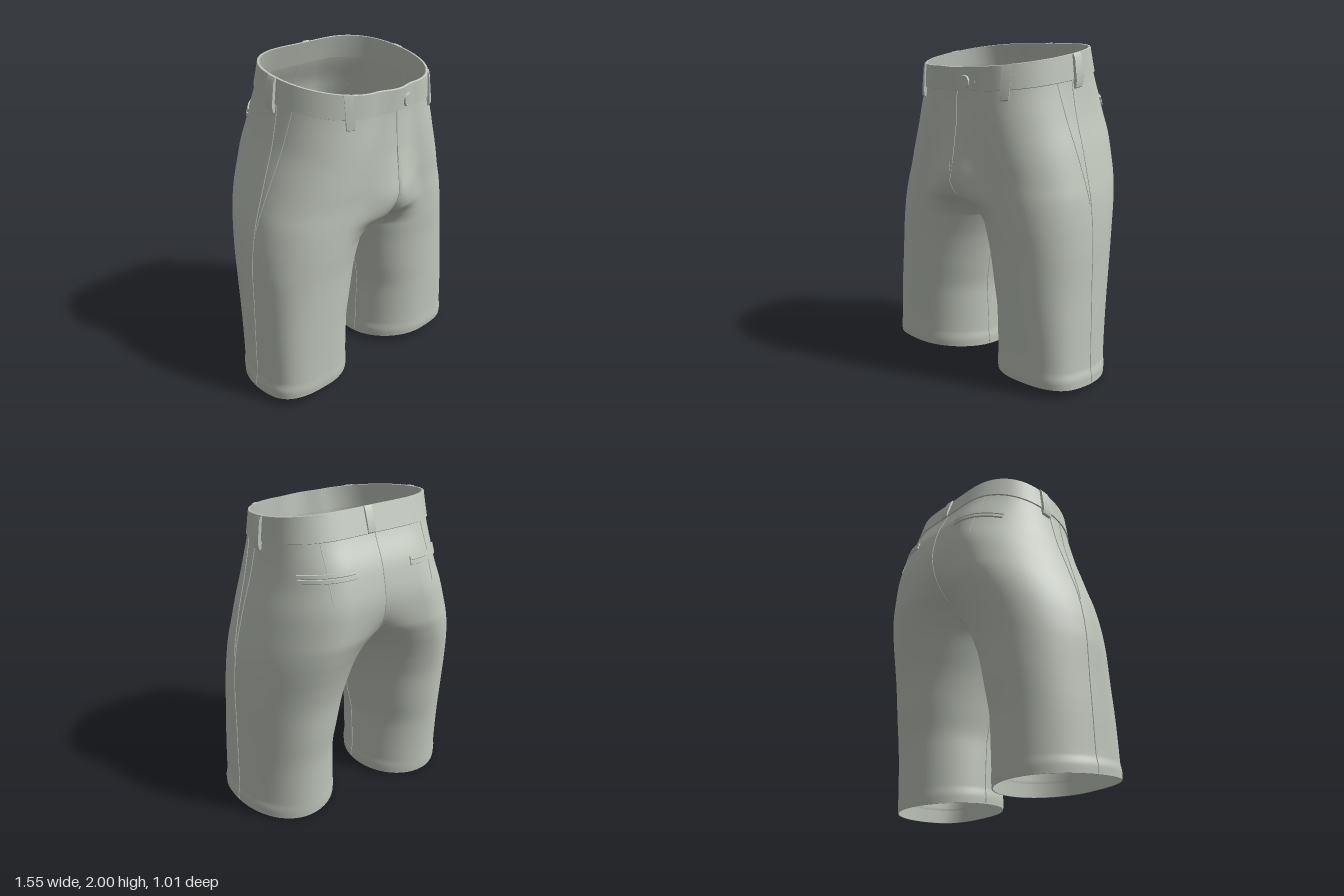
import * as THREE from 'three';
import { mergeGeometries, mergeVertices, toCreasedNormals } from 'three/addons/utils/BufferGeometryUtils.js';

// Sections of one leg half, hem to waist (a negative inner x is cut at the centre):
// y, inner x, peak x, outer x, front z, back z, inner z, front bulge, side z
const LEVELS = [
  [0.024, 0.115, 0.44, 0.772, 0.387, -0.29, 0.06, 0, 0.15],
  [0.07, 0.113, 0.44, 0.773, 0.391, -0.294, 0.06, 0, 0.15],
  [0.13, 0.12, 0.44, 0.762, 0.39, -0.297, 0.06, 0, 0.15],
  [0.4, 0.12, 0.44, 0.757, 0.395, -0.315, 0.07, 0, 0.14],
  [0.6, 0.09, 0.43, 0.752, 0.4, -0.345, 0.08, 0, 0.13],
  [0.8, 0.047, 0.42, 0.75, 0.405, -0.373, 0.08, 0, 0.115],
  [0.95, 0, 0.4, 0.74, 0.415, -0.41, 0.08, 0, 0.095],
  [1.05, -0.04, 0.38, 0.727, 0.42, -0.44, 0.08, 0.06, 0.08],
  [1.15, -0.12, 0.35, 0.708, 0.425, -0.47, 0.08, 0.135, 0.07],
  [1.25, -0.3, 0.31, 0.68, 0.43, -0.492, 0.08, 0.117, 0.06],
  [1.4, -0.8, 0.27, 0.635, 0.44, -0.497, 0.08, 0.064, 0.05],
  [1.6, -1.5, 0.22, 0.573, 0.445, -0.457, 0.08, 0.026, 0.04],
  [1.81, -2, 0.18, 0.53, 0.44, -0.362, 0.08, 0.02, 0.03],
  [1.948, -2.2, 0.16, 0.514, 0.445, -0.314, 0.08, 0.026, 0.02],
];
const BOTTOM = LEVELS[0][0], TOP = LEVELS[LEVELS.length - 1][0], BAND = 1.8;
const { lerp, smoothstep, clamp } = THREE.MathUtils;

// Monotone cubic interpolation of the section values at height y
function section(y) {
  let i = 0;
  while (i < LEVELS.length - 2 && y > LEVELS[i + 1][0]) i++;
  const slope = (j, k) => (LEVELS[j + 1][k] - LEVELS[j][k]) / (LEVELS[j + 1][0] - LEVELS[j][0]);
  const tangent = (j, k) => {
    if (j === 0) return slope(0, k);
    if (j === LEVELS.length - 1) return slope(j - 1, k);
    const a = slope(j - 1, k), b = slope(j, k);
    return a * b <= 0 ? 0 : (2 * a * b) / (a + b);
  };
  const h = LEVELS[i + 1][0] - LEVELS[i][0], t = (y - LEVELS[i][0]) / h;
  return LEVELS[i].map((v, k) => {
    const w = LEVELS[i + 1][k];
    return v + (w - v) * t * t * (3 - 2 * t)
      + h * t * (1 - t) * ((1 - t) * tangent(i, k) - t * tangent(i + 1, k));
  });
}

// Left half surface: u runs centre front (0), side (0.5), centre back (1)
function halfPoint(u, y) {
  const [, xi, px, xo, zf, zb, zi, bulge, zs] = section(y);
  const front = u <= 0.5, v = front ? u : 1 - u;
  const peak = front ? zf : zb;
  let x, z;
  if (v < 0.25) {
    // Inner quarter of the leg ellipse, cut where it meets the centre plane
    const t = 1 - v * 4, end = Math.asin(Math.min(1, px / (px - xi)));
    x = px - (px - xi) * Math.sin(t * end);
    z = zi + (peak - zi) * Math.cos(t * end);
    if (front) z += bulge * (1 - Math.cos(t * Math.PI)) / 2;
  } else {
    const s = (v - 0.25) * 2 * Math.PI;
    const n = front ? 0.7 + 0.24 * smoothstep(y, 0.1, 1) + 0.06 * smoothstep(y, 1.6, 1.95)
      : 1 + 0.07 * smoothstep(y, 0.7, 1.2) - 0.25 * smoothstep(y, 1.5, 1.95);
    x = px + (xo - px) * Math.pow(Math.max(0, Math.sin(s)), n);
    z = zs + (peak - zs) * Math.pow(Math.max(0, Math.cos(s)), n);
  }
  return new THREE.Vector3(x, y + (0.08 - 0.245 * y / TOP) * z, z);
}

function normalAt(u, y) {
  const e = 0.004, c = (a) => clamp(a, 0, 1), d = (a) => clamp(a, BOTTOM, TOP);
  const du = halfPoint(c(u + e), y).sub(halfPoint(c(u - e), y));
  const dy = halfPoint(u, d(y + e)).sub(halfPoint(u, d(y - e)));
  const n = du.cross(dy);
  if (y > 0.95 && (u === 0 || u === 1)) n.x = 0;
  return n.normalize();
}

// Point on either side, lifted off the cloth; the top leans slightly to +x
function point(side, u, y, lift = 0) {
  const p = halfPoint(u, y);
  if (lift) p.addScaledVector(normalAt(u, y), lift);
  p.x = p.x * side + 0.026 * smoothstep(y, 0.8, 1.6);
  return p;
}

// Find u where the x or z coordinate takes a value
function findU(axis, value, y, lo, hi) {
  const rising = halfPoint(hi, y)[axis] > halfPoint(lo, y)[axis];
  for (let i = 0; i < 30; i++) {
    const mid = (lo + hi) / 2;
    if ((halfPoint(mid, y)[axis] < value) === rising) lo = mid; else hi = mid;
  }
  return (lo + hi) / 2;
}
const frontU = (x, y) => findU('x', x, y, 0, 0.5);
const backU = (x, y) => findU('x', x, y, 0.5, 1);
const sideU = (z, y) => findU('z', z, y, 0.25, 0.75);

// Grid of points with outward winding
function grid(side, cols, rows, at) {
  const pos = [], idx = [];
  for (let j = 0; j <= rows; j++)
    for (let i = 0; i <= cols; i++) pos.push(...at(i, j).toArray());
  for (let j = 0; j < rows; j++)
    for (let i = 0; i < cols; i++) {
      const a = j * (cols + 1) + i, b = a + 1, c = a + cols + 1, d = c + 1;
      if (side > 0) idx.push(a, b, d, a, d, c); else idx.push(a, d, b, a, c, d);
    }
  const g = new THREE.BufferGeometry();
  g.setAttribute('position', new THREE.Float32BufferAttribute(pos, 3));
  g.setIndex(idx);
  return g;
}

// Raised strip between two u limits (functions of y); profile lists [y, lift]
function strip(side, from, to, profile, cols, closeEnds = true) {
  return grid(side, cols, profile.length - 1, (i, j) => {
    const [y, lift] = profile[j], end = closeEnds && (i === 0 || i === cols);
    const f = closeEnds ? clamp((i - 1) / (cols - 2), 0, 1) : i / cols;
    return point(side, lerp(from(y), to(y), f), y, end ? 0 : lift);
  });
}

export function createModel() {
  const group = new THREE.Group();
  const cloth = new THREE.MeshStandardMaterial({ color: 0xc0c6bc, side: THREE.DoubleSide });
  cloth.name = 'sage grey cloth';
  const add = (name, geometry) => {
    const mesh = new THREE.Mesh(geometry, cloth);
    mesh.name = name;
    group.add(mesh);
    return mesh;
  };
  const smooth = (list) => {
    const g = mergeVertices(mergeGeometries(list), 1e-4);
    g.computeVertexNormals();
    return g;
  };
  const creased = (list) => toCreasedNormals(mergeGeometries(list), 0.7);
  const both = (make) => [1, -1].map(make);
  const start = () => 0, finish = () => 1;

  // Body and legs, welded along the centre and inner leg
  const ys = [];
  LEVELS.slice(1).forEach((l, i) => {
    for (let s = 0; s < 6; s++) ys.push(lerp(LEVELS[i][0], l[0], s / 6));
  });
  ys.push(TOP);
  add('shortsBody', smooth(both((s) => grid(s, 96, ys.length - 1, (i, j) => point(s, i / 96, ys[j])))));

  // Waistband and turned-in hems
  const bandProfile = [[BAND, 0], [BAND + 0.002, 0.008], [TOP - 0.003, 0.008], [TOP, 0.004], [TOP, -0.005], [BAND, -0.005]];
  add('waistband', creased(both((s) => strip(s, start, finish, bandProfile, 96, false))));
  add('hems', creased(both((s) => strip(s, start, finish, [[0.11, -0.006], [BOTTOM, -0.006], [BOTTOM, 0]], 96, false))));

  // Belt loops: two front, two side, one back
  const loop = (side, find, at, half, low, lift) => strip(side, (y) => find(at - half, y), (y) => find(at + half, y),
    [[low, 0], [low + 0.005, 0.014], [low + 0.04, lift], [1.92, lift], [TOP, 0.014], [TOP, 0]], 6);
  add('frontBeltLoops', creased(both((s) => loop(s, frontU, s > 0 ? 0.35 : 0.328, 0.022, 1.74, 0.018))));
  add('sideBeltLoops', creased(both((s) => loop(s, sideU, 0, -0.03, 1.75, 0.026))));
  add('backBeltLoop', creased([loop(1, backU, 0.026, -0.025, 1.8, 0.02)]));

  // Fly placket and back welt pockets
  add('flyPlacket', creased([strip(1, start, (y) => frontU(0.022, y),
    [[1.26, 0], [1.28, 0.004], [1.4, 0.004], [1.6, 0.004], [BAND, 0.004]], 5)]));
  const welts = [1.606, 1.632].flatMap((y) => both((s) =>
    strip(s, (h) => backU(0.465, h), (h) => backU(0.185, h),
      [[y - 0.012, 0], [y - 0.009, 0.009], [y + 0.009, 0.009], [y + 0.012, 0]], 18)));
  add('backWeltPockets', creased(welts));

  // Raised seams following the cloth
  const seam = (name, uAt, y0, y1, sides = [1, -1]) => sides.forEach((s) => {
    const pts = [];
    for (let i = 0; i <= 40; i++) {
      const y = lerp(y0, y1, i / 40);
      pts.push(point(s, uAt(y), y, 0.0015));
    }
    add(name, new THREE.TubeGeometry(new THREE.CatmullRomCurve3(pts), 60, 0.003, 5));
  });
  seam('sideSeam', (y) => sideU(lerp(0.068, 0.04, y / TOP), y), 0.03, BAND);
  seam('pocketSeam', (y) => sideU(lerp(0.062, 0.15, (y - 1.1) / 0.7), y), 1.1, BAND);
  seam('frontCentreSeam', () => 0, 0.955, BAND, [1]);
  seam('backCentreSeam', () => 1, 0.955, BAND, [1]);
  seam('innerLegSeam', () => 0, 0.03, 0.95);
  seam('backDart', (y) => backU(0.34, y), 1.48, BAND);

  // Button and buttonhole
  const place = (mesh, x, y, lift) => {
    const u = frontU(x, y);
    mesh.position.copy(point(1, u, y, lift));
    mesh.quaternion.setFromUnitVectors(new THREE.Vector3(0, 0, 1), normalAt(u, y));
  };
  place(add('button', new THREE.CylinderGeometry(0.037, 0.04, 0.014, 28).rotateX(Math.PI / 2)), 0.083, 1.855, 0.013);
  place(add('buttonhole', new THREE.BoxGeometry(0.05, 0.014, 0.008)), 0.138, 1.855, 0.008);
  return group;
}
